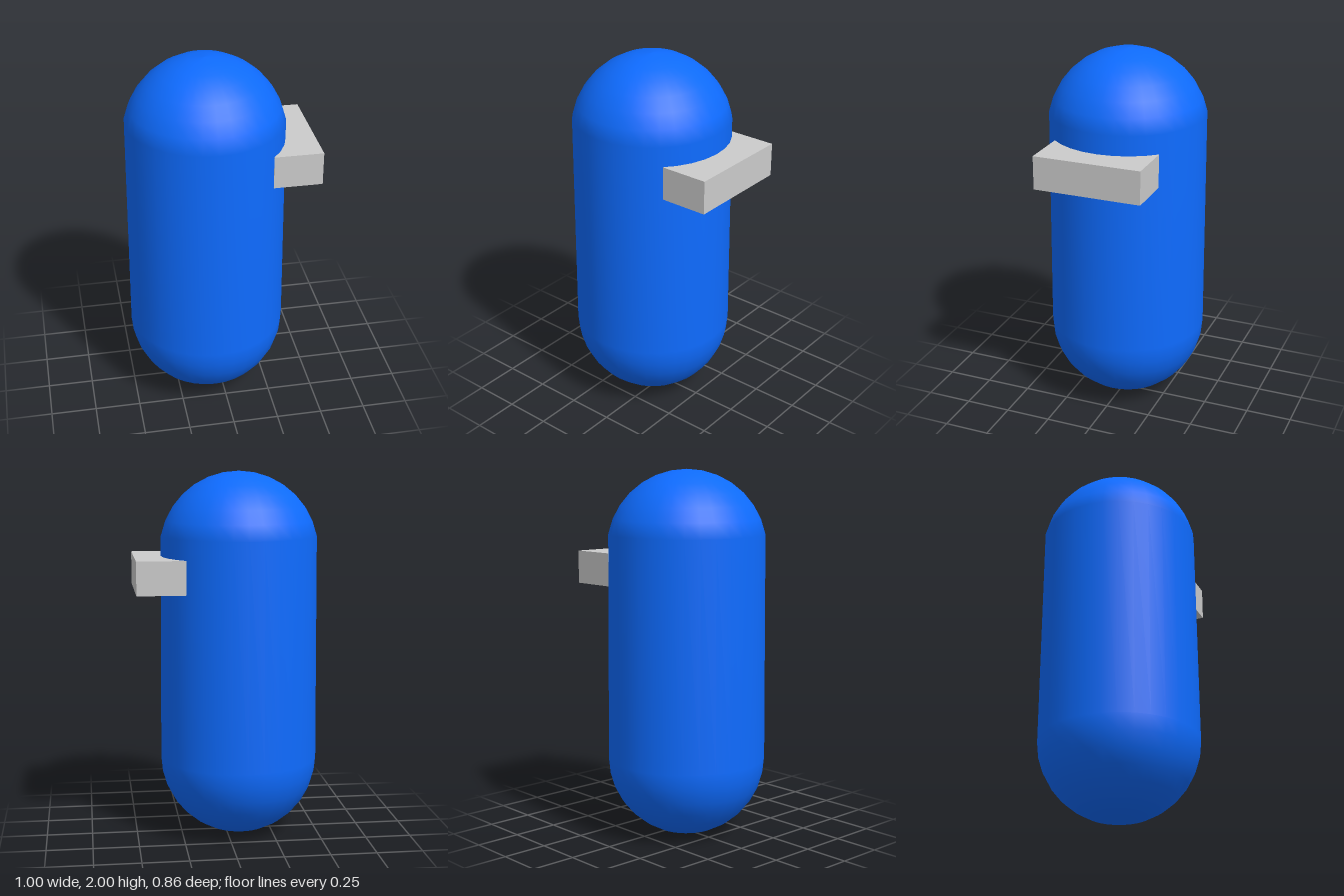
import * as THREE from 'three';

export function createModel() {
  const group = new THREE.Group();
  const radius = 0.431, step = Math.PI / 16;

  // Capsule profile: lower hemisphere, then the dome starting one ring above its equator
  const profile = [];
  for (let i = -8; i <= 8; i++) {
    const a = i * step;
    const centreY = i <= 0 ? radius : 2 - radius;
    profile.push(new THREE.Vector2(Math.max(0, radius * Math.cos(a)), centreY + radius * Math.sin(a)));
  }
  const body = new THREE.Mesh(
    new THREE.LatheGeometry(profile, 32),
    new THREE.MeshStandardMaterial({ color: 0x0e6bff })
  );
  body.name = 'capsuleBody';
  body.position.x = -0.07;
  group.add(body);

  // Block set into the side of the capsule
  const visor = new THREE.Mesh(
    new THREE.BoxGeometry(0.26, 0.18, 0.583),
    new THREE.MeshStandardMaterial({ color: 0xcccccc })
  );
  visor.name = 'visor';
  visor.position.set(0.37, 1.457, 0);
  group.add(visor);

  return group;
}
